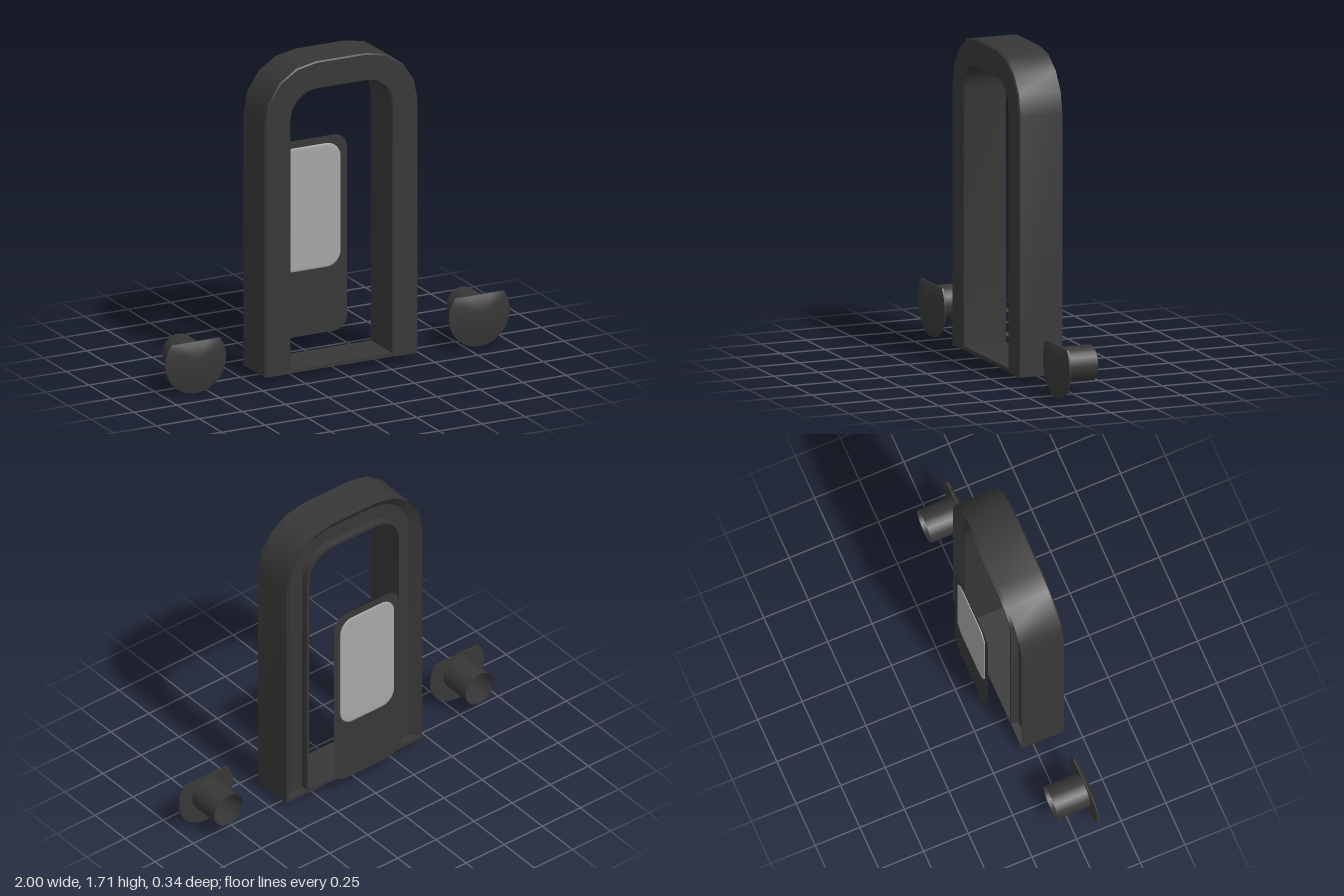
import * as THREE from 'three';
import { toCreasedNormals } from 'three/addons/utils/BufferGeometryUtils.js';

const V = (x, y, z) => new THREE.Vector3(x, y, z);

// Surface through equal-length rows of points
function loft(rows) {
  const pos = [], idx = [], n = rows[0].length;
  rows.forEach(row => row.forEach(p => pos.push(p.x, p.y, p.z)));
  for (let i = 0; i < rows.length - 1; i++) {
    for (let j = 0; j < n - 1; j++) {
      const a = i * n + j, b = a + n;
      idx.push(a, b, b + 1, a, b + 1, a + 1);
    }
  }
  const g = new THREE.BufferGeometry();
  g.setAttribute('position', new THREE.Float32BufferAttribute(pos, 3));
  g.setIndex(idx);
  return toCreasedNormals(g, 0.5);
}

function roundedRect(x0, x1, y0, y1, r) {
  const s = new THREE.Shape();
  s.absarc(x1 - r, y1 - r, r, 0, Math.PI / 2);
  s.absarc(x0 + r, y1 - r, r, Math.PI / 2, Math.PI);
  s.absarc(x0 + r, y0 + r, r, Math.PI, Math.PI * 1.5);
  s.absarc(x1 - r, y0 + r, r, Math.PI * 1.5, Math.PI * 2);
  s.closePath();
  return s;
}

export function createModel() {
  const model = new THREE.Group();
  const dark = new THREE.MeshStandardMaterial({ color: 0x373737, side: THREE.DoubleSide });
  dark.name = 'charcoal';
  const light = new THREE.MeshStandardMaterial({ color: 0xa6a6a6 });
  light.name = 'light grey';
  const add = (parent, name, geometry, material) => {
    const mesh = new THREE.Mesh(geometry, material);
    mesh.name = name;
    parent.add(mesh);
    return mesh;
  };

  // Arched frame: a rail section (radius, z) carried up, over and down
  const section = [
    [0.293, 0.17], [0.3, 0.163], [0.3, -0.07], [0.245, -0.03], [0.165, -0.03],
    [0.163, -0.07], [0.15, -0.07], [0.15, 0.163], [0.157, 0.17], [0.293, 0.17],
  ];
  const cx = 0.145, cy = 1.41, steps = 4;
  const rows = section.map(([r, z]) => {
    const row = [V(cx + r, 0.04, z)];
    for (const side of [1, -1]) {
      for (let i = 0; i <= steps; i++) {
        const a = (i / steps + (side < 0 ? 1 : 0)) * Math.PI / 2;
        row.push(V(side * cx + r * Math.cos(a), cy + r * Math.sin(a), z));
      }
    }
    row.push(V(-cx - r, 0.04, z));
    return row;
  });
  add(model, 'archFrame', loft(rows), dark);

  // Sill joining the two rails
  const sill = add(model, 'sill', new THREE.BoxGeometry(0.888, 0.02, 0.236), dark);
  sill.position.set(0, 0.05, 0.048);

  // Thin back panel with a light plate showing on both faces
  const panel = add(model, 'backPanel',
    new THREE.ShapeGeometry(roundedRect(-0.22, 0.205, 0.11, 1.175, 0.075), 8), dark);
  panel.position.z = -0.1625;
  const plate = add(model, 'lightPlate', new THREE.ExtrudeGeometry(
    roundedRect(-0.165, 0.145, 0.485, 1.115, 0.06),
    { depth: 0.009, bevelThickness: 0.003, bevelSize: 0.02, bevelSegments: 2, curveSegments: 8 }), light);
  plate.position.z = -0.167;

  // Knob outline: a disc with its top cut flat
  const R = 0.176, cut = 0.105, start = Math.asin(cut / R);
  const outline = [];
  for (let i = 0; i <= 24; i++) {
    const a = Math.PI - start + (i / 24) * (Math.PI + 2 * start);
    outline.push([R * Math.cos(a), R * Math.sin(a)]);
  }
  for (let i = 1; i <= 4; i++) outline.push([(1 - i / 2) * outline[24][0], cut]);

  // Domed head: (scale, z) rings from the back centre round to the front centre
  const rings = [[0.001, 0.115], [1, 0.115], [1, 0.125]];
  for (const s of [0.8, 0.6, 0.4, 0.2, 0.001]) rings.push([s, 0.125 + 0.025 * (1 - s * s)]);
  const head = loft(rings.slice().reverse().map(([s, z]) => outline.map(([x, y]) => V(x * s, y * s, z))));

  // Hollow stem behind each head
  const stem = new THREE.CylinderGeometry(0.092, 0.092, 0.187, 24, 1, true);
  stem.rotateX(Math.PI / 2);
  stem.translate(0, 0, 0.0235);

  for (const side of [1, -1]) {
    const knob = new THREE.Group();
    knob.name = side > 0 ? 'leftKnob' : 'rightKnob';
    add(knob, 'knobHead', head, dark);
    add(knob, 'knobStem', stem, dark);
    knob.position.set(side * 0.824, 0.178, 0);
    model.add(knob);
  }
  return model;
}
